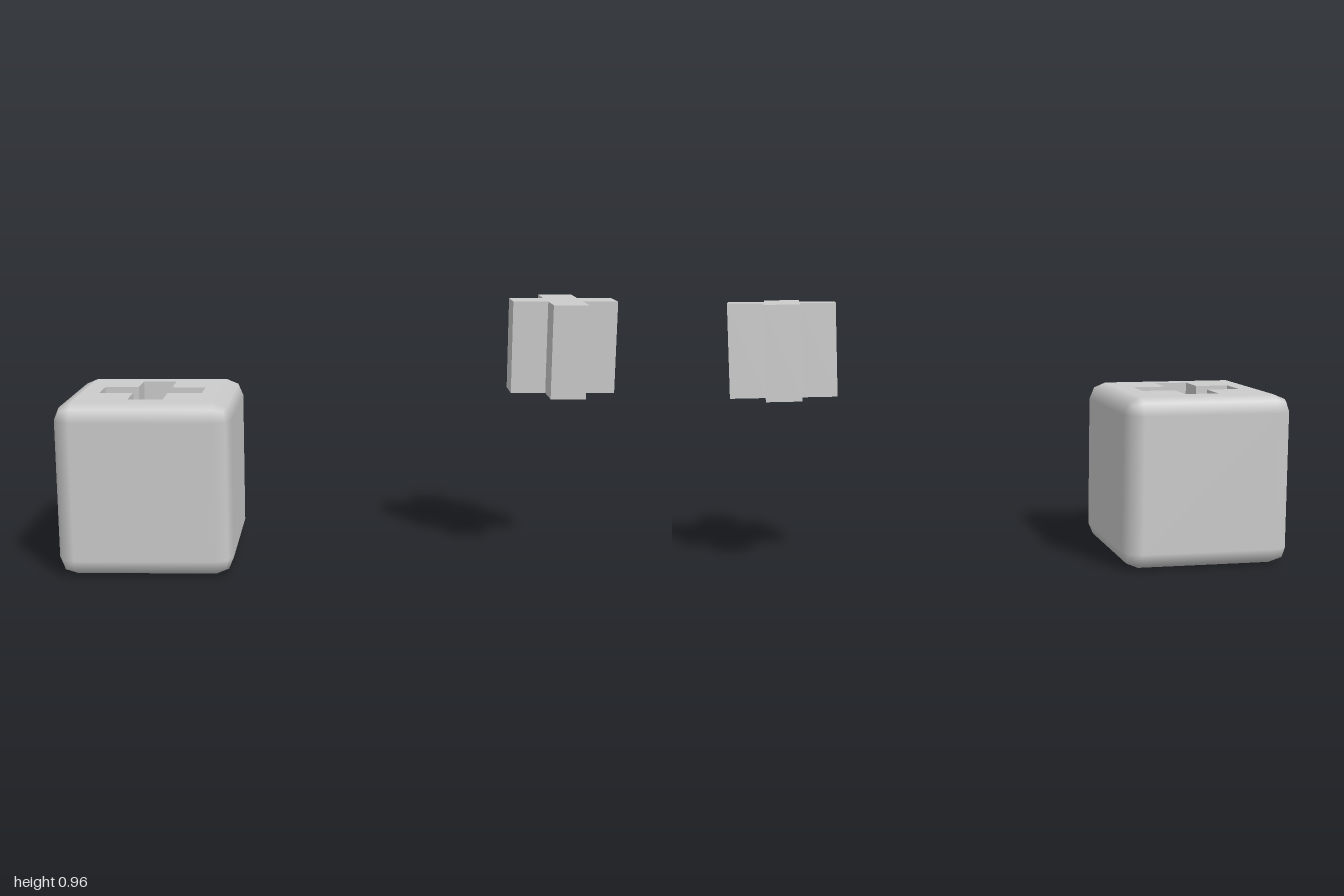
import * as THREE from 'three';
import { RoundedBoxGeometry } from 'three/addons/geometries/RoundedBoxGeometry.js';

const SIZE = 0.625, RADIUS = 0.0625, DEPTH = 0.31;
const ARM = 0.1875, HALF = 0.0625;

// Outline of a plus sign, counter-clockwise
function crossPoints() {
  const points = [];
  for (let i = 0; i < 4; i++) {
    for (const [x, y] of [[ARM, -HALF], [ARM, HALF], [HALF, HALF]]) {
      points.push(new THREE.Vector2(x, y).rotateAround(new THREE.Vector2(), i * Math.PI / 2));
    }
  }
  return points;
}

// Keep only the triangles that pass the test on their three corners
function filterTriangles(geometry, keep) {
  const source = geometry.index ? geometry.toNonIndexed() : geometry;
  const pos = source.attributes.position, nor = source.attributes.normal;
  const p = [], n = [];
  for (let i = 0; i < pos.count; i += 3) {
    const corners = [0, 1, 2].map(k => new THREE.Vector3().fromBufferAttribute(pos, i + k));
    if (!keep(corners)) continue;
    corners.forEach((c, k) => {
      p.push(c.x, c.y, c.z);
      n.push(nor.getX(i + k), nor.getY(i + k), nor.getZ(i + k));
    });
  }
  const result = new THREE.BufferGeometry();
  result.setAttribute('position', new THREE.Float32BufferAttribute(p, 3));
  result.setAttribute('normal', new THREE.Float32BufferAttribute(n, 3));
  return result;
}

export function createModel() {
  const model = new THREE.Group();
  const material = new THREE.MeshStandardMaterial({ color: 0xcccccc });
  const inside = new THREE.MeshStandardMaterial({ color: 0xcccccc, side: THREE.DoubleSide });
  const add = (parent, name, geometry, mat = material) => {
    const mesh = new THREE.Mesh(geometry, mat);
    mesh.name = name;
    parent.add(mesh);
    return mesh;
  };

  // Rounded block, left open where its flat top will go
  const block = new THREE.Group();
  block.name = 'block';
  block.position.set(-1 + SIZE / 2, SIZE / 2, 0);
  model.add(block);
  const top = SIZE / 2, flat = top - RADIUS;
  const shell = new RoundedBoxGeometry(SIZE, SIZE, SIZE, 1, RADIUS);
  add(block, 'blockShell', filterTriangles(shell, c => !c.every(v => v.y > top - 1e-4)));

  // Flat top with the cross-shaped opening
  const face = new THREE.Shape([[-1, -1], [1, -1], [1, 1], [-1, 1]]
    .map(([x, y]) => new THREE.Vector2(x * flat, y * flat)));
  face.holes.push(new THREE.Path(crossPoints().reverse()));
  add(block, 'blockTop', new THREE.ShapeGeometry(face).rotateX(-Math.PI / 2).translate(0, top, 0));

  // Socket walls
  const points = crossPoints();
  points.forEach((a, i) => {
    const b = points[(i + 1) % points.length];
    const wall = new THREE.PlaneGeometry(a.distanceTo(b), DEPTH);
    wall.rotateY(Math.atan2(b.y - a.y, b.x - a.x) + Math.PI);
    wall.translate((a.x + b.x) / 2, top - DEPTH / 2, -(a.y + b.y) / 2);
    add(block, 'socketWall', wall, inside);
  });

  // Socket floor
  const cross = new THREE.Shape(crossPoints());
  add(block, 'socketFloor',
    new THREE.ShapeGeometry(cross).rotateX(-Math.PI / 2).translate(0, top - DEPTH, 0));

  // Matching cross-shaped plug, raised beside the block
  const plug = new THREE.ExtrudeGeometry(cross, { depth: 0.333, bevelEnabled: false });
  add(model, 'plug', plug.rotateX(-Math.PI / 2)).position.set(1 - ARM, 0.627, 0);

  return model;
}
